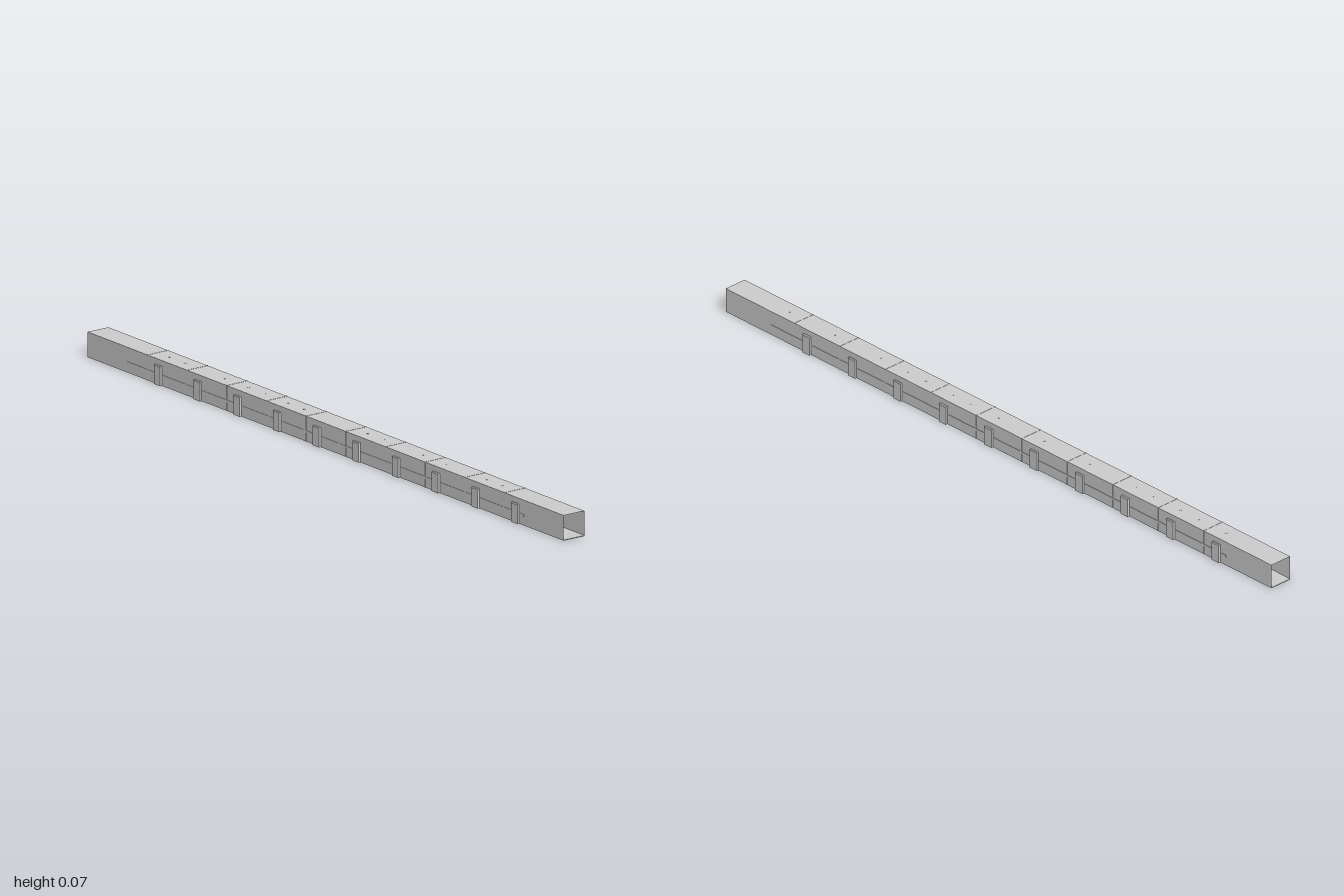
import * as THREE from 'three';

const W = 0.033;      // half width of the corridor
const H = 0.067;      // height of the corridor
const MODULES = 10;
const PITCH = 1 / 6;  // length of one repeating module
const DOOR_W = 0.026;

export function createModel() {
  const group = new THREE.Group();
  const mat = new THREE.MeshStandardMaterial({ color: 0xcccccc, flatShading: true });
  const thin = new THREE.MeshStandardMaterial({ color: 0xcccccc, flatShading: true, side: THREE.DoubleSide });

  function add(name, geo, x, y, z, material = mat, parent = group) {
    const mesh = new THREE.Mesh(geo, material);
    mesh.name = name;
    mesh.position.set(x, y, z);
    parent.add(mesh);
    return mesh;
  }

  // Thin shell, open at both ends
  const wall = new THREE.PlaneGeometry(2, H);
  const slab = new THREE.PlaneGeometry(2, 2 * W);
  add('frontWall', wall, 0, H / 2, W, thin);
  add('backWall', wall, 0, H / 2, -W, thin).rotation.y = Math.PI;
  add('ceiling', slab, 0, H, 0, thin).rotation.x = -Math.PI / 2;
  add('floor', new THREE.BoxGeometry(2, 0.002, 2 * W), 0, 0.001, 0);

  // Double doors closing each end of the corridor, set inside the opening
  for (const end of [-1, 1]) {
    for (const side of [-1, 1]) {
      add('endDoorLeaf', new THREE.BoxGeometry(0.004, H - 0.002, W - 0.0004),
        end * 0.835, H / 2 + 0.0005, side * W / 2);
    }
  }

  // Rib that wraps the shell at the middle of every module
  const o = 0.0006;
  const ribShape = new THREE.Shape([
    new THREE.Vector2(-W - o, 0), new THREE.Vector2(W + o, 0),
    new THREE.Vector2(W + o, H + o), new THREE.Vector2(-W - o, H + o),
  ]);
  const i = W - 0.0015;
  ribShape.holes.push(new THREE.Path([
    new THREE.Vector2(-i, 0.002), new THREE.Vector2(-i, H - 0.0015),
    new THREE.Vector2(i, H - 0.0015), new THREE.Vector2(i, 0.002),
  ]));
  const ribGeo = new THREE.ExtrudeGeometry(ribShape, { depth: 0.004, bevelEnabled: false });
  ribGeo.translate(0, 0, -0.002).rotateY(Math.PI / 2);

  // Side door: section in depth and height with a sloped top, extruded along x
  const doorShape = new THREE.Shape([
    new THREE.Vector2(-0.001, 0), new THREE.Vector2(0.006, 0),
    new THREE.Vector2(0.006, 0.05), new THREE.Vector2(0.004, 0.052),
    new THREE.Vector2(-0.001, 0.052),
  ]);
  const doorGeo = new THREE.ExtrudeGeometry(doorShape, { depth: DOOR_W, bevelEnabled: false });
  doorGeo.translate(0, 0, -DOOR_W / 2).rotateY(-Math.PI / 2);

  const lampGeo = new THREE.CylinderGeometry(0.003, 0.003, 0.002, 12);

  for (let k = 0; k < MODULES; k++) {
    const x = -0.75 + k * PITCH;
    add('rib', ribGeo, x, 0, 0);
    for (const side of [1, -1]) {
      const doorX = x + side * 0.05;
      // Doors alternate between the two walls
      const door = add('sideDoor', doorGeo, doorX, 0, side * W);
      door.scale.z = 1;
      door.rotation.y = side > 0 ? Math.PI : 0;
      door.rotation.y += Math.PI;
      add('ceilingLamp', lampGeo, doorX, H - 0.0005, 0);
    }
  }

  // Handrail strips running between the doors on each wall
  for (const side of [1, -1]) {
    const cuts = [];
    for (let k = 0; k < MODULES; k++) cuts.push(-0.75 + k * PITCH + side * 0.05);
    const gap = DOOR_W / 2 + 0.003;
    for (let k = 0; k <= MODULES; k++) {
      const a = k === 0 ? -0.833 : cuts[k - 1] + gap;
      const b = k === MODULES ? 0.833 : cuts[k] - gap;
      if (b - a < 0.005) continue;
      add('handrail', new THREE.BoxGeometry(b - a, 0.006, 0.002), (a + b) / 2, 0.026, side * W);
    }
  }

  return group;
}
